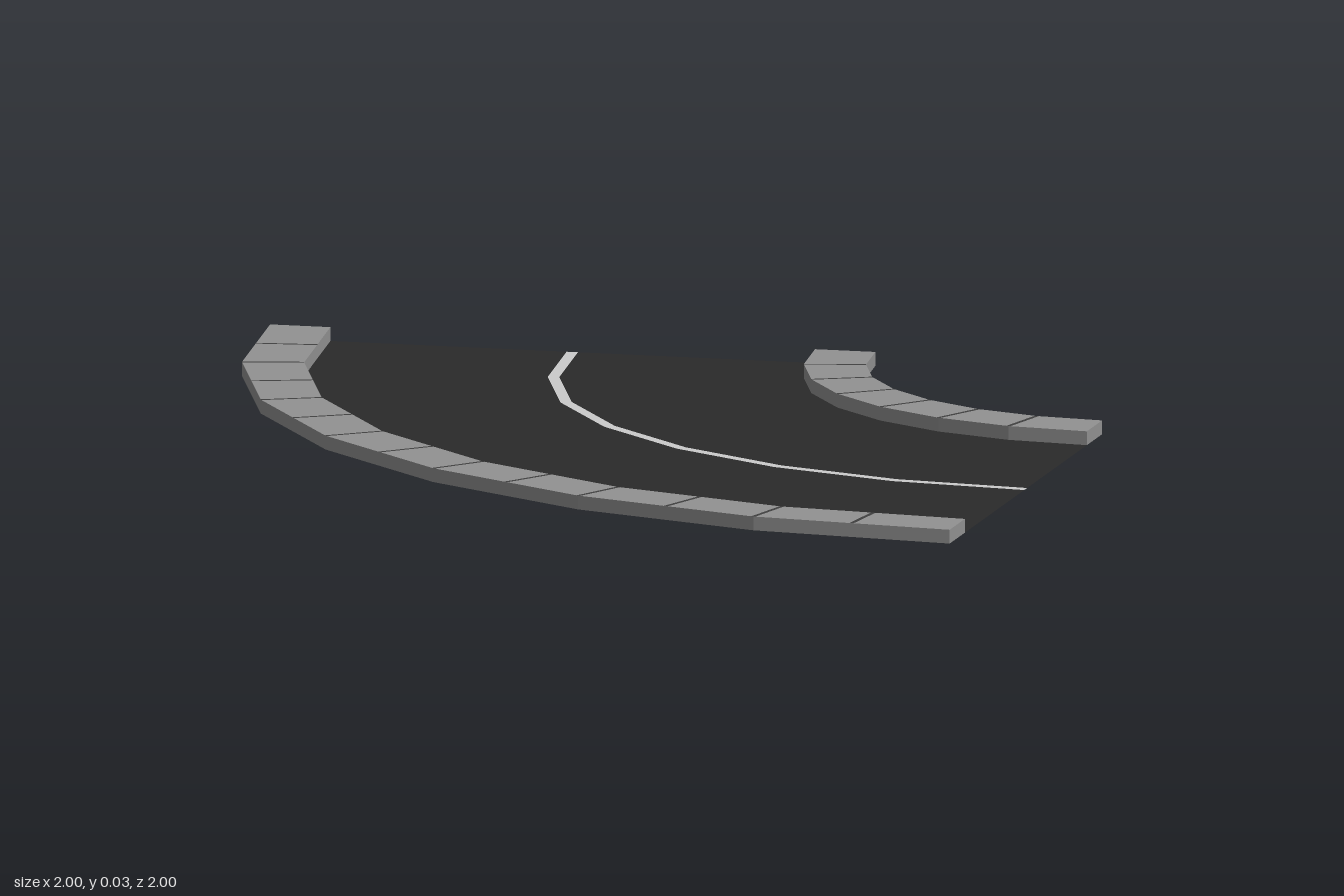
import * as THREE from 'three';

const SEGMENTS = 7;                    // straight pieces in the quarter turn
const STEP = Math.PI / 2 / SEGMENTS;
const KERB = 0.03;                     // pavement height
const JOINT = 0.01;                    // width of the joints between slabs

const material = (color) => new THREE.MeshStandardMaterial({ color, flatShading: true, side: THREE.DoubleSide });

// Point on the faceted arc of radius r; t counts segments, shift moves it along the arc
function arcPoint(r, y, [t, shift]) {
  const u = t + shift / (r * STEP);
  const i = Math.min(Math.max(Math.floor(u), 0), SEGMENTS - 1), f = u - i;
  const a = i * STEP, b = a + STEP;
  return [
    1 - r * (Math.cos(a) * (1 - f) + Math.cos(b) * f), y,
    -1 + r * (Math.sin(a) * (1 - f) + Math.sin(b) * f),
  ];
}

const quad = (a, b, c, d) => [...a, ...b, ...c, ...a, ...c, ...d];

// Band swept through the stations between the section points [radius, height] p and q
function band(p, q, stations) {
  const out = [];
  for (let i = 0; i < stations.length - 1; i++) {
    const s = stations[i], e = stations[i + 1];
    out.push(...quad(arcPoint(...p, s), arcPoint(...q, s), arcPoint(...q, e), arcPoint(...p, e)));
  }
  return out;
}

function mesh(name, positions, mat) {
  const geometry = new THREE.BufferGeometry();
  geometry.setAttribute('position', new THREE.Float32BufferAttribute(positions, 3));
  geometry.computeVertexNormals();
  const m = new THREE.Mesh(geometry, mat);
  m.name = name;
  return m;
}

const fullArc = Array.from({ length: SEGMENTS + 1 }, (_, i) => [i, 0]);

// Hollow raised pavement: slabs and joints on top, kerb walls, end caps
function pavement(name, r0, r1, slabs, stone, dark) {
  const group = new THREE.Group();
  group.name = name;
  const top = [[r0, KERB], [r1, KERB]];
  const half = JOINT / 2;
  const slabFaces = [], jointFaces = [];
  for (let j = 0; j < slabs; j++) {
    const t0 = j * SEGMENTS / slabs, t1 = (j + 1) * SEGMENTS / slabs;
    const last = j === slabs - 1;
    slabFaces.push(...band(...top, [[t0, j ? half : 0], [t1, last ? 0 : -half]]));
    if (!last) jointFaces.push(...band(...top, [[t1, -half], [t1, 0], [t1, half]]));
  }
  const walls = [
    ...band([r1, KERB], [r1, 0], fullArc),
    ...band([r0, 0], [r0, KERB], fullArc),
  ];
  const caps = [0, SEGMENTS].flatMap((t) => {
    const [a, b] = t ? [r0, r1] : [r1, r0];
    const s = [t, 0];
    return quad(arcPoint(a, 0, s), arcPoint(b, 0, s), arcPoint(b, KERB, s), arcPoint(a, KERB, s));
  });
  group.add(
    mesh('slabs', slabFaces, stone),
    mesh('joints', jointFaces, dark),
    mesh('kerbWalls', [...walls, ...caps], stone),
  );
  return group;
}

export function createModel() {
  const model = new THREE.Group();
  model.name = 'roadCurve';
  const asphalt = material(0x2a2a2a);
  const stone = material(0x929292);
  const joint = material(0x404040);
  const paint = material(0xcccccc);

  // Flat road sheet, split around the centre line
  const lane = (name, r0, r1, mat) => mesh(name, band([r0, 0], [r1, 0], fullArc), mat);
  model.add(
    lane('innerLane', 0.8, 1.322, asphalt),
    lane('centreLine', 1.322, 1.347, paint),
    lane('outerLane', 1.347, 1.867, asphalt),
    pavement('innerPavement', 0.667, 0.8, 7, stone, joint),
    pavement('outerPavement', 1.867, 2, 14, stone, joint),
  );
  return model;
}
